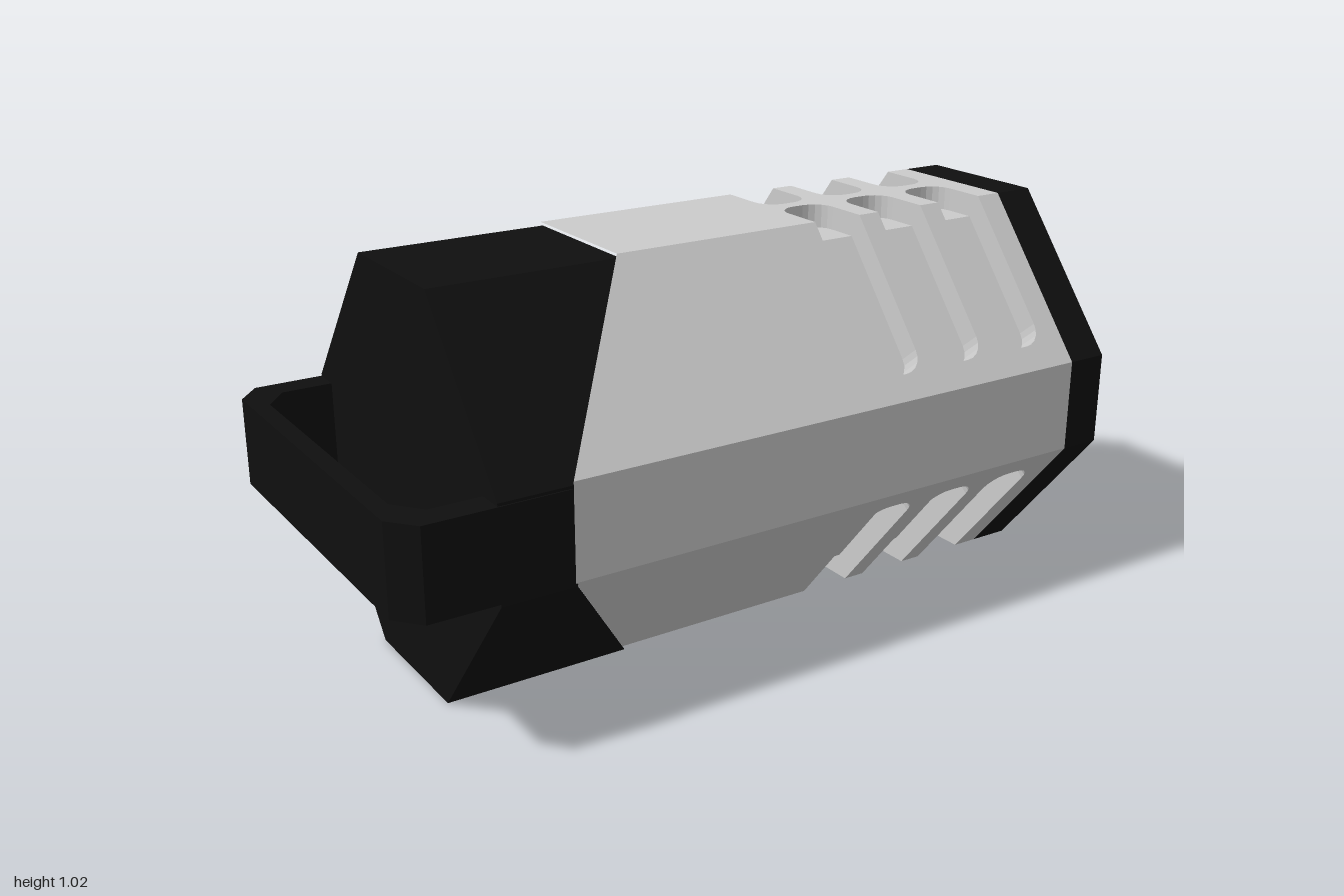
import * as THREE from 'three';

// Octagon section (z, y about its centre) and slot sizes
const FLAT = 0.185, WIDE = 0.5, HIGH = 0.507, SIDE = 0.12;
const BODY_Y = 0.517, CORE_Y = 0.507;
const FRONT = 0.89, EDGE_TOP = -0.29, EDGE_SIDE = -0.59;
const SLOTS = [0.35, 0.55, 0.75], HALF = 0.07, ROUND = 0.055, DEPTH = 0.06;

const grey = new THREE.MeshStandardMaterial({ color: 0xcccccc, flatShading: true });
const black = new THREE.MeshStandardMaterial({ color: 0x0f0f0f, flatShading: true });

function add(group, name, geometry, material) {
  const mesh = new THREE.Mesh(geometry, material);
  mesh.name = name;
  group.add(mesh);
  return mesh;
}

// U-shaped slot outline in panel coordinates: x along the body, t away from the fold
function slotPath(x, length, start = 0) {
  const pts = [new THREE.Vector2(x - HALF, start)];
  for (const [cx, from] of [[x - HALF + ROUND, Math.PI], [x + HALF - ROUND, Math.PI / 2]]) {
    for (let i = 0; i <= 5; i++) {
      const a = from - (i / 5) * Math.PI / 2;
      pts.push(new THREE.Vector2(cx + ROUND * Math.cos(a), length - ROUND + ROUND * Math.sin(a)));
    }
  }
  pts.push(new THREE.Vector2(x + HALF, start));
  return pts;
}

// Triangles of a flat shape, as (x, t, depth)
function fill(points, depth, out) {
  const g = new THREE.ShapeGeometry(new THREE.Shape(points)).toNonIndexed();
  const p = g.attributes.position;
  for (let i = 0; i < p.count; i++) out.push([p.getX(i), p.getY(i), depth]);
}

// One panel with optional slots that start at its fold edge
function panelTriangles({ extent, x0, x1, slot, mitre }) {
  const tris = [];
  const outline = [new THREE.Vector2(x0, 0)];
  if (slot) {
    for (const x of SLOTS) {
      const rim = slotPath(x, slot), floor = slotPath(x, slot, mitre);
      outline.push(...rim);
      fill(floor, DEPTH, tris);
      for (let i = 0; i < rim.length - 1; i++) {
        const a = [rim[i].x, rim[i].y, 0], b = [rim[i + 1].x, rim[i + 1].y, 0];
        const c = [floor[i + 1].x, floor[i + 1].y, DEPTH], d = [floor[i].x, floor[i].y, DEPTH];
        tris.push(a, c, b, a, d, c);
      }
    }
  }
  outline.push(new THREE.Vector2(FRONT, 0), new THREE.Vector2(FRONT, extent), new THREE.Vector2(x1, extent));
  fill(outline, 0, tris);
  return tris;
}

// Folds a panel into place in one quadrant (signs sy, sz)
function foldPanel(panel, sy, sz) {
  const { o, d, n, flip } = panel;
  const tris = panelTriangles(panel), pos = [];
  const swap = (sy * sz < 0) !== flip;
  for (let i = 0; i < tris.length; i += 3) {
    for (const k of swap ? [0, 2, 1] : [0, 1, 2]) {
      const [x, t, depth] = tris[i + k];
      pos.push(x, BODY_Y + sy * (o[1] + t * d[1] - depth * n[1]), sz * (o[0] + t * d[0] - depth * n[0]));
    }
  }
  const g = new THREE.BufferGeometry();
  g.setAttribute('position', new THREE.Float32BufferAttribute(pos, 3));
  g.computeVertexNormals();
  return g;
}

// Octagonal prism along x
function octagonPrism(x0, x1, cy, inset) {
  const w = WIDE - inset;
  const shape = new THREE.Shape([
    [FLAT, -HIGH], [w, -SIDE], [w, SIDE], [FLAT, HIGH],
    [-FLAT, HIGH], [-w, SIDE], [-w, -SIDE], [-FLAT, -HIGH],
  ].map(([z, y]) => new THREE.Vector2(z, y)));
  const g = new THREE.ExtrudeGeometry(shape, { depth: x1 - x0, bevelEnabled: false });
  return g.rotateY(Math.PI / 2).translate(x0, cy, 0);
}

export function createModel() {
  const model = new THREE.Group();

  // Slotted shell: top, sloping and side panels, mirrored to four quadrants
  const dz = WIDE - FLAT, dy = HIGH - SIDE, slope = Math.hypot(dz, dy);
  const mitre = DEPTH * Math.tan(Math.atan2(dy, dz) / 2);
  const panels = {
    flatPanel: { o: [FLAT, HIGH], d: [-1, 0], n: [0, 1], flip: false,
      extent: FLAT, x0: EDGE_TOP, x1: EDGE_TOP, slot: 0.165, mitre },
    slopingPanel: { o: [FLAT, HIGH], d: [dz / slope, -dy / slope], n: [dy / slope, dz / slope], flip: true,
      extent: slope, x0: EDGE_TOP, x1: EDGE_SIDE, slot: 0.431, mitre },
    sidePanel: { o: [WIDE, SIDE], d: [0, -1], n: [1, 0], flip: true,
      extent: SIDE, x0: EDGE_SIDE, x1: EDGE_SIDE },
  };
  const shell = new THREE.Group();
  shell.name = 'shell';
  for (const [name, panel] of Object.entries(panels))
    for (const sy of [1, -1])
      for (const sz of [1, -1]) add(shell, name, foldPanel(panel, sy, sz), grey);
  model.add(shell);

  // End cap
  add(model, 'endCap', octagonPrism(FRONT, 1, BODY_Y, 0), black);

  // Rear block, its inner end swept to follow the shell edge
  const rear = octagonPrism(-0.77, 0, CORE_Y, 0.003);
  const p = rear.attributes.position;
  for (let i = 0; i < p.count; i++) {
    if (p.getX(i) > -0.5) p.setX(i, Math.abs(p.getY(i) - CORE_Y) > 0.3 ? EDGE_TOP + 0.006 : EDGE_SIDE + 0.006);
  }
  rear.computeVertexNormals();
  add(model, 'rearBlock', rear, black);

  // Rear handle loop
  const outer = [[-0.592, 0.5], [-0.945, 0.5], [-1, 0.435]];
  const inner = [[-0.955, 0.36], [-0.9, 0.43], [-0.592, 0.43]];
  const mirror = (pts) => pts.map(([x, z]) => [x, -z]).reverse();
  const loop = [...outer, ...mirror(outer), ...mirror(inner), ...inner];
  const handle = new THREE.ExtrudeGeometry(
    new THREE.Shape(loop.map(([x, z]) => new THREE.Vector2(x, z))),
    { depth: 0.225, bevelEnabled: false });
  add(model, 'handle', handle.rotateX(-Math.PI / 2).translate(0, 0.395, 0), black);

  return model;
}
